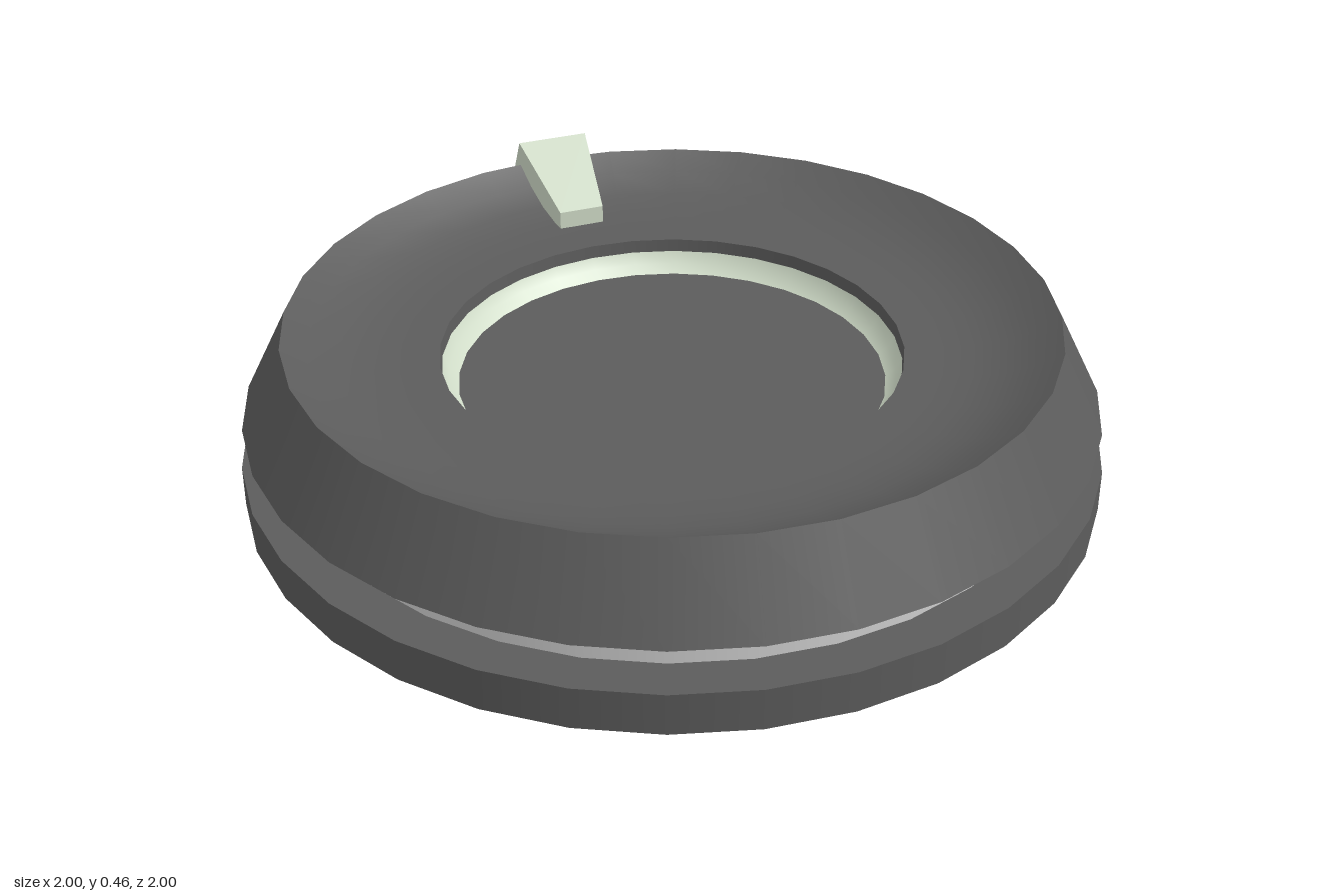
import * as THREE from 'three';

const SIDES = 32;

export function createModel() {
  const group = new THREE.Group();
  const mat = (name, color) => {
    const m = new THREE.MeshStandardMaterial({ color });
    m.name = name;
    return m;
  };
  const darkGrey = mat('darkGrey', 0x5c5c5c);
  const lightGrey = mat('lightGrey', 0xd2d2d2);
  const paleGreen = mat('paleGreen', 0xd0dcc8);

  const add = (name, geometry, material, parent = group) => {
    const mesh = new THREE.Mesh(geometry, material);
    mesh.name = name;
    parent.add(mesh);
    return mesh;
  };
  // One smooth surface of revolution; separate calls meet at sharp edges
  const turned = (name, points, material, parent) => add(
    name,
    new THREE.LatheGeometry(points.map(([r, y]) => new THREE.Vector2(r, y)), SIDES),
    material, parent);

  // Base plate and recessed neck
  add('basePlate', new THREE.CylinderGeometry(1, 1, 0.1, SIDES), darkGrey).position.y = 0.05;
  turned('neck', [[0.9, 0.1], [0.9, 0.2]], lightGrey);

  // Upper body: underside, sloping side, hollowed top and recess
  const body = new THREE.Group();
  body.name = 'upperBody';
  group.add(body);
  turned('underside', [[0.85, 0.2], [0.99, 0.2]], darkGrey, body);
  turned('slopingSide', [[0.99, 0.2], [0.89, 0.4]], darkGrey, body);
  turned('dishedTop', [[0.89, 0.4], [0.83, 0.363], [0.76, 0.334], [0.69, 0.32], [0.62, 0.316], [0.535, 0.316]], darkGrey, body);
  turned('recessWall', [[0.535, 0.316], [0.532, 0.285]], darkGrey, body);
  turned('recessRing', [[0.532, 0.285], [0.518, 0.258], [0.495, 0.24]], paleGreen, body);
  turned('recessFloor', [[0.495, 0.24], [0, 0.24]], darkGrey, body);

  // Pointer: a radial profile over the rim, widening outwards
  const profile = new THREE.Shape([
    [0.652, 0.3], [0.84, 0.3], [0.93, 0.2], [0.992, 0.2], [0.885, 0.46], [0.652, 0.362],
  ].map(([r, y]) => new THREE.Vector2(r, y)));
  const pointer = new THREE.ExtrudeGeometry(profile, { depth: 1, bevelEnabled: false });
  const p = pointer.attributes.position;
  for (let i = 0; i < p.count; i++) {
    const width = 0.113 + (p.getX(i) - 0.652) * 0.28;
    p.setZ(i, (p.getZ(i) - 0.5) * width);
  }
  pointer.computeVertexNormals();
  add('pointer', pointer, paleGreen).rotation.y = Math.PI - THREE.MathUtils.degToRad(46.3);

  return group;
}
